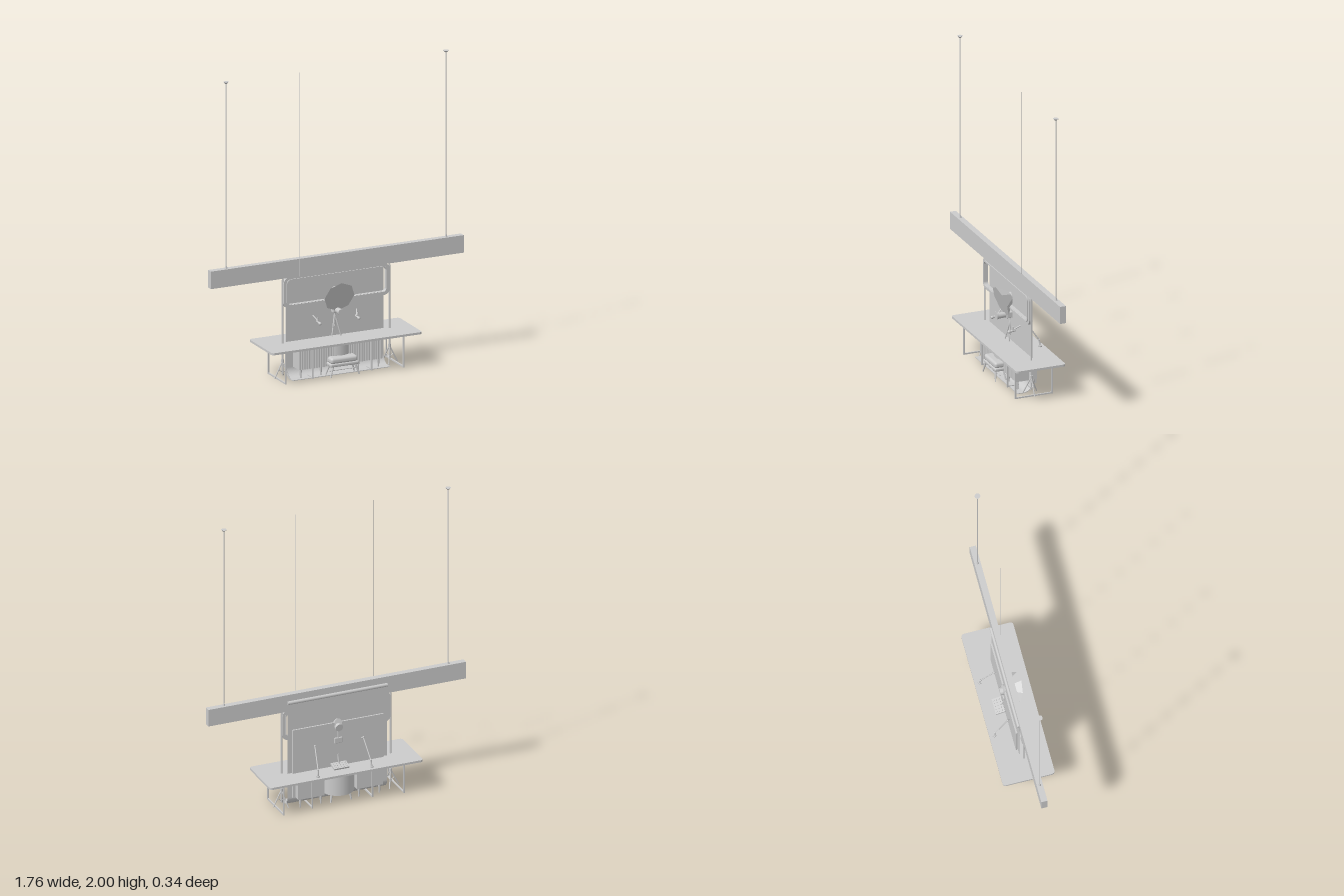
import * as THREE from 'three';
import { RoundedBoxGeometry } from 'three/addons/geometries/RoundedBoxGeometry.js';

const mat = new THREE.MeshStandardMaterial({ color: 0xcccccc, side: THREE.DoubleSide });
const flat = new THREE.MeshStandardMaterial({ color: 0xcccccc, side: THREE.DoubleSide, flatShading: true });

export function createModel() {
  const root = new THREE.Group();

  const add = (name, geo, x = 0, y = 0, z = 0, parent = root, m = mat) => {
    const mesh = new THREE.Mesh(geo, m);
    mesh.name = name;
    mesh.position.set(x, y, z);
    parent.add(mesh);
    return mesh;
  };
  const box = (name, w, h, d, x, y, z, parent) => add(name, new THREE.BoxGeometry(w, h, d), x, y, z, parent);
  // Straight round bar between two points
  const rod = (name, a, b, r, r2 = r, parent = root) => {
    const p = new THREE.Vector3(...a), q = new THREE.Vector3(...b);
    const dir = q.clone().sub(p);
    const mesh = add(name, new THREE.CylinderGeometry(r2, r, dir.length(), 10), 0, 0, 0, parent);
    mesh.position.copy(p).add(q).multiplyScalar(0.5);
    mesh.quaternion.setFromUnitVectors(new THREE.Vector3(0, 1, 0), dir.normalize());
    return mesh;
  };
  // Rounded rectangle outline
  const roundRect = (w, h, r, P = THREE.Shape) => {
    const s = new P(), x = w / 2, y = h / 2;
    s.moveTo(-x + r, -y);
    s.lineTo(x - r, -y); s.absarc(x - r, -y + r, r, -Math.PI / 2, 0);
    s.lineTo(x, y - r); s.absarc(x - r, y - r, r, 0, Math.PI / 2);
    s.lineTo(-x + r, y); s.absarc(-x + r, y - r, r, Math.PI / 2, Math.PI);
    s.lineTo(-x, -y + r); s.absarc(-x + r, -y + r, r, Math.PI, Math.PI * 1.5);
    return s;
  };
  const extrude = (shape, depth) => new THREE.ExtrudeGeometry(shape, { depth, bevelEnabled: false, curveSegments: 8 });

  // Hanging beam and its suspension
  box('beam', 1.76, 0.115, 0.04, 0, 0.7175, 0);
  for (const s of [-1, 1]) {
    rod('suspensionRod', [s * 0.765, 0.775, 0], [s * 0.765, 2, 0], 0.003);
    add('ceilingCap', new THREE.CylinderGeometry(0.018, 0.007, 0.012, 16), s * 0.765, 1.994, 0);
    add('rodSocket', new THREE.CylinderGeometry(0.005, 0.009, 0.015, 12), s * 0.765, 0.782, 0);
    rod('thinCable', [s * 0.265, 0.66, 0.02], [s * 0.265, 2, 0.02], 0.0012);
  }

  // Backdrop roll, hanging sheet with a curved foot, and rear board
  rod('backdropRoll', [-0.34, 0.72, -0.022], [0.34, 0.72, -0.022], 0.012);
  const sheet = new THREE.Shape();
  sheet.moveTo(-0.022, 0.72);
  sheet.lineTo(-0.022, 0.06);
  sheet.absarc(0.038, 0.06, 0.06, Math.PI, Math.PI * 1.5, false);
  sheet.lineTo(0.08, 0);
  sheet.lineTo(0.08, 0.004);
  sheet.lineTo(0.038, 0.004);
  sheet.absarc(0.038, 0.06, 0.056, Math.PI * 1.5, Math.PI, true);
  sheet.lineTo(-0.018, 0.72);
  const sheetMesh = add('backdropSheet', extrude(sheet, 0.68), 0.34, 0, 0);
  sheetMesh.rotation.y = -Math.PI / 2;
  box('rearBoard', 0.62, 0.47, 0.01, 0, 0.295, -0.03);

  // Rounded sign frame: broad outer band with a slim raised band inside it
  const band = (name, w, h, r, t, depth, z) => {
    const s = roundRect(w, h, r);
    s.holes.push(roundRect(w - 2 * t, h - 2 * t, r - t, THREE.Path));
    add(name, extrude(s, depth), 0, 0.559, z);
  };
  band('signFrame', 0.74, 0.206, 0.042, 0.024, 0.022, -0.008);
  band('signFrameInner', 0.70, 0.178, 0.03, 0.009, 0.03, -0.01);

  // Table top and sled legs
  const top = add('tableTop', extrude(roundRect(1.045, 0.337, 0.02), 0.014), 0, 0.229, -0.004);
  top.rotation.x = Math.PI / 2;
  const sled = (name, x, z0, z1) => {
    const g = new THREE.Group();
    g.name = name;
    root.add(g);
    for (const z of [z0, z1]) box('sledPost', 0.009, 0.215, 0.009, x, 0.1075, z, g);
    for (const y of [0.005, 0.205]) box('sledRail', 0.009, 0.009, z1 - z0, x, y, (z0 + z1) / 2, g);
  };

  for (const s of [-1, 1]) {
    sled('outerLeg', s * 0.41, -0.125, 0.125);
    sled('innerLeg', s * 0.205, -0.1, 0.09);
    box('legBrace', 0.09, 0.008, 0.008, s * 0.38, 0.2, 0);

    // Light stand with tripod feet
    const x = s * 0.372;
    rod('standPole', [x, 0.03, 0], [x, 0.66, 0], 0.006, 0.005);
    rod('standCollar', [x, 0.1, 0], [x, 0.125, 0], 0.009);
    for (let i = 0; i < 3; i++) {
      const a = i * Math.PI * 2 / 3;
      const fx = x + s * 0.055 * Math.cos(a), fz = 0.055 * Math.sin(a);
      rod('standFoot', [x, 0.115, 0], [fx, 0.004, fz], 0.004);
      rod('standStay', [x, 0.04, 0], [(x + fx) / 2, 0.06, fz / 2], 0.0025);
    }

    // Pedestal cabinet below the table
    box('pedestal', 0.18, 0.155, 0.14, s * 0.2, 0.1375, -0.005);
    for (const px of [0.13, 0.27]) for (const pz of [-0.06, 0.05])
      rod('pedestalFoot', [s * px, 0, pz], [s * px, 0.062, pz], 0.005, 0.008);

    // Jointed arm clamped to the rear edge, ending in a small microphone
    rod('armClamp', [s * 0.183, 0.228, -0.14], [s * 0.183, 0.238, -0.14], 0.012);
    rod('armPost', [s * 0.183, 0.235, -0.14], [s * 0.18, 0.275, -0.135], 0.005);
    rod('armLower', [s * 0.18, 0.275, -0.135], [s * 0.165, 0.4, -0.05], 0.004);
    rod('armUpper', [s * 0.165, 0.4, -0.05], [s * 0.135, 0.35, 0.02], 0.004);
    for (const p of [[0.18, 0.275, -0.135], [0.165, 0.4, -0.05]])
      add('armJoint', new THREE.SphereGeometry(0.007, 10, 8), s * p[0], p[1], p[2]);
    rod('microphoneBody', [s * 0.135, 0.345, 0.005], [s * 0.135, 0.34, 0.05], 0.007);
    add('microphoneHead', new THREE.SphereGeometry(0.01, 12, 8), s * 0.135, 0.34, 0.05);
    rod('microphoneHook', [s * 0.135, 0.345, 0.025], [s * 0.14, 0.372, 0.025], 0.004);
  }

  // Ribbed front and the round drum behind it
  box('ribBacking', 0.58, 0.155, 0.006, 0, 0.1375, 0.063);
  for (let i = 0; i < 48; i++)
    add('rib', new THREE.CylinderGeometry(0.0045, 0.0045, 0.155, 6), -0.282 + i * 0.012, 0.1375, 0.067);
  add('drum', new THREE.CylinderGeometry(0.105, 0.105, 0.155, 32), 0, 0.1375, -0.02);
  for (const s of [-1, 1]) rod('drumFoot', [s * 0.07, 0, -0.08], [s * 0.06, 0.062, -0.07], 0.005, 0.008);

  // Stool
  const stool = new THREE.Group();
  stool.name = 'stool';
  stool.position.set(0, 0, 0.092);
  root.add(stool);
  add('stoolCushion', new RoundedBoxGeometry(0.185, 0.04, 0.07, 4, 0.016), 0, 0.104, 0, stool);
  add('stoolBase', new RoundedBoxGeometry(0.195, 0.022, 0.074, 3, 0.008), 0, 0.077, 0, stool);
  for (const sx of [-1, 1]) for (const sz of [-1, 1])
    rod('stoolLeg', [sx * 0.1, 0, sz * 0.036], [sx * 0.075, 0.075, sz * 0.025], 0.004, 0.007, stool);
  rod('stoolStretcher', [-0.09, 0.035, 0], [0.09, 0.035, 0], 0.003, 0.003, stool);

  // Eight-sided reflector lamp, tilted downward
  const lamp = new THREE.Group();
  lamp.name = 'lamp';
  lamp.position.set(0, 0.498, 0.05);
  lamp.rotation.x = 1.89;
  root.add(lamp);
  add('reflector', new THREE.CylinderGeometry(0.104, 0.035, 0.07, 8), 0, -0.035, 0, lamp, flat);
  add('lampNeck', new THREE.CylinderGeometry(0.03, 0.026, 0.025, 16), 0, -0.08, 0, lamp);
  const head = rod('lampHousing', [0, 0.505, -0.01], [0, 0.498, -0.055], 0.026);
  head.name = 'lampHousing';
  rod('lampBracket', [0, 0.41, -0.035], [0, 0.49, -0.035], 0.006);

  // Camera on a small table tripod
  add('cameraBody', new RoundedBoxGeometry(0.055, 0.04, 0.06, 2, 0.005), 0, 0.405, -0.012);
  rod('cameraLens', [0, 0.403, 0.015], [0, 0.403, 0.078], 0.018, 0.021);
  rod('lensHood', [0, 0.403, 0.06], [0, 0.403, 0.08], 0.019, 0.023);
  rod('tripodColumn', [0, 0.29, -0.018], [0, 0.39, -0.018], 0.007);
  for (let i = 0; i < 3; i++) {
    const a = Math.PI / 6 + i * Math.PI * 2 / 3;
    rod('tripodLeg', [0, 0.37, -0.018], [0.036 * Math.cos(a), 0.229, -0.012 + 0.036 * Math.sin(a)], 0.006, 0.004);
  }

  // Sloped control desk with rows of knobs
  const mixer = new THREE.Group();
  mixer.name = 'controlDesk';
  mixer.position.set(0, 0.241, -0.065);
  mixer.rotation.x = -0.25;
  root.add(mixer);
  box('controlCase', 0.105, 0.012, 0.062, 0, 0, 0, mixer);
  for (let i = 0; i < 5; i++) for (let j = 0; j < 3; j++)
    add('knob', new THREE.CylinderGeometry(0.003, 0.004, 0.006, 8), -0.038 + i * 0.019, 0.008, -0.02 + j * 0.018, mixer);

  return root;
}
